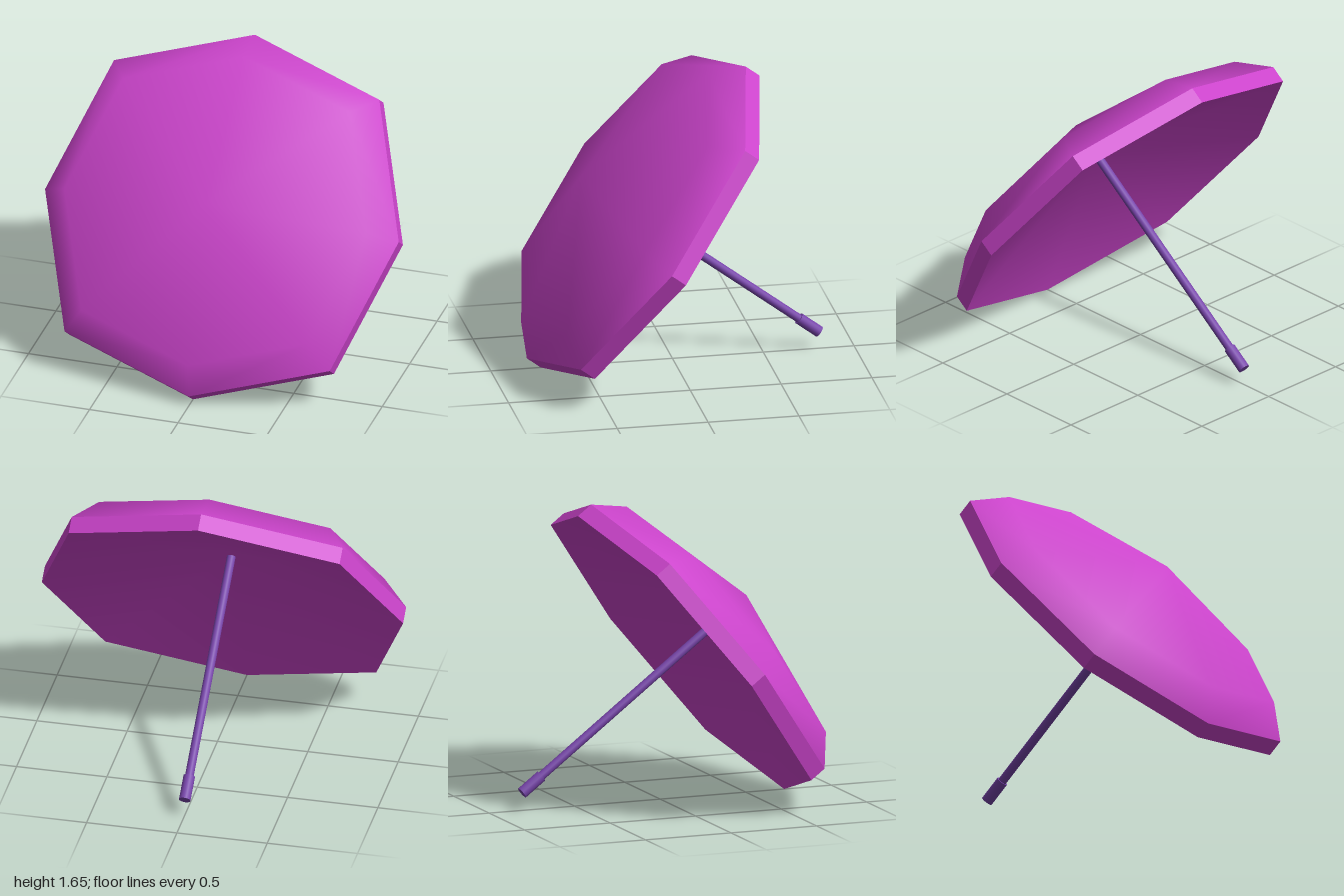
import * as THREE from 'three';
import { mergeVertices } from 'three/addons/utils/BufferGeometryUtils.js';

// Octagonal outline of the canopy, slightly square at the diagonals
const OUTLINE = [[1, 0], [0.75, 0.75], [0, 1], [-0.75, 0.75], [-1, 0], [-0.75, -0.75], [0, -1], [0.75, -0.75]];

// Skin between scaled copies of the outline; rings are [scale, height]
function loft(rings, flat) {
  const n = OUTLINE.length;
  const points = [];
  const index = [];
  for (const [s, y] of rings) for (const [x, z] of OUTLINE) points.push(x * s, y, z * s);
  for (let r = 0; r < rings.length - 1; r++) {
    for (let i = 0; i < n; i++) {
      const a = r * n + i, b = r * n + (i + 1) % n;
      if (rings[r][0] > 0) index.push(a, a + n, b);
      if (rings[r + 1][0] > 0) index.push(b, a + n, b + n);
    }
  }
  let geometry = new THREE.BufferGeometry();
  geometry.setAttribute('position', new THREE.Float32BufferAttribute(points, 3));
  geometry.setIndex(index);
  geometry = flat ? geometry.toNonIndexed() : mergeVertices(geometry);
  geometry.computeVertexNormals();
  return geometry;
}

export function createModel() {
  const model = new THREE.Group();
  model.name = 'parasol';
  const pink = new THREE.MeshStandardMaterial({ color: 0xcc44cc });
  const purple = new THREE.MeshStandardMaterial({ color: 0x7744aa });

  // Everything is built upright around the pole, then tilted forward
  const tilted = new THREE.Group();
  tilted.name = 'tiltedParasol';
  tilted.position.set(0, 0.803, 0.122);
  tilted.rotation.x = 0.924;
  model.add(tilted);

  const add = (name, geometry, material) => {
    const mesh = new THREE.Mesh(geometry, material);
    mesh.name = name;
    tilted.add(mesh);
    return mesh;
  };

  // Canopy: smooth dome, flat-sided rim, shallow hollow underneath
  add('canopyTop', loft([[1, 0.096], [0.853, 0.246], [0, 0.478]], false), pink);
  add('canopyRim', loft([[1, 0], [1, 0.096]], true), pink);
  add('canopyUnderside', loft([[0, 0.28], [1, 0]], false), pink);

  // Pole and grip
  const rod = (name, radius, bottom, top) => {
    const mesh = add(name, new THREE.CylinderGeometry(radius, radius, top - bottom, 16), purple);
    mesh.position.y = (top + bottom) / 2;
  };
  rod('pole', 0.024, -1.1, 0.29);
  rod('grip', 0.032, -1.165, -1.025);

  return model;
}
